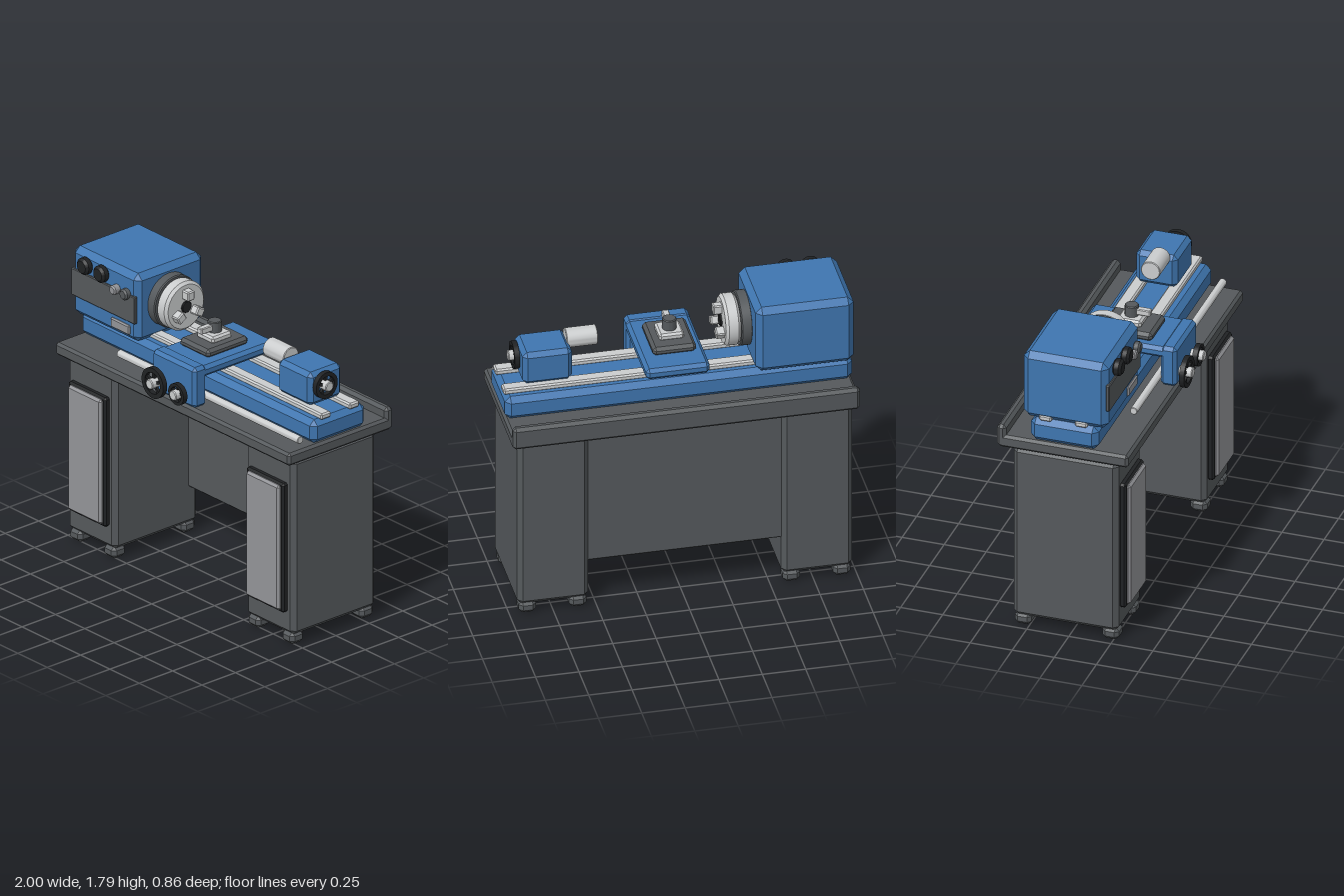
import * as THREE from 'three';
import { toCreasedNormals } from 'three/addons/utils/BufferGeometryUtils.js';
import { ConvexGeometry } from 'three/addons/geometries/ConvexGeometry.js';

const paint = (name, color) => {
  const m = new THREE.MeshStandardMaterial({ color });
  m.name = name;
  return m;
};

export function createModel() {
  const blue = paint('machine blue', 0x3f76b0);
  const dark = paint('dark grey', 0x55595c);
  const black = paint('black', 0x202224);
  const light = paint('light steel', 0xcbcdce);
  const mid = paint('door grey', 0x939498);

  const root = new THREE.Group();
  root.name = 'benchLathe';
  const group = (name) => {
    const g = new THREE.Group();
    g.name = name;
    root.add(g);
    return g;
  };
  const add = (parent, name, geometry, material) => {
    const mesh = new THREE.Mesh(geometry, material);
    mesh.name = name;
    parent.add(mesh);
    return mesh;
  };

  // Box with flat chamfers, given by its extents on each axis
  const box = (parent, name, mat, [x0, x1], [y0, y1], [z0, z1], c = 0.02) => {
    const hx = (x1 - x0) / 2, hy = (y1 - y0) / 2, hz = (z1 - z0) / 2;
    const pts = [];
    for (const sx of [-1, 1]) for (const sy of [-1, 1]) for (const sz of [-1, 1]) {
      pts.push(new THREE.Vector3(sx * hx, sy * (hy - c), sz * (hz - c)));
      pts.push(new THREE.Vector3(sx * (hx - c), sy * hy, sz * (hz - c)));
      pts.push(new THREE.Vector3(sx * (hx - c), sy * (hy - c), sz * hz));
    }
    const mesh = add(parent, name, new ConvexGeometry(pts), mat);
    mesh.position.set((x0 + x1) / 2, (y0 + y1) / 2, (z0 + z1) / 2);
    return mesh;
  };

  // Bevelled round bar starting at a point and running along +x, +y or +z
  const bar = (parent, name, mat, axis, r, len, [x, y, z], c = 0.008) => {
    const profile = [[0, 0], [r - c, 0], [r, c], [r, len - c], [r - c, len], [0, len]]
      .map(([a, b]) => new THREE.Vector2(a, b));
    const geo = toCreasedNormals(new THREE.LatheGeometry(profile, 36), 0.5);
    if (axis === 'x') geo.rotateZ(-Math.PI / 2);
    if (axis === 'z') geo.rotateX(Math.PI / 2);
    const mesh = add(parent, name, geo, mat);
    mesh.position.set(x, y, z);
    return mesh;
  };

  // Spoked handwheel facing +z, with its shaft
  const handwheel = (name, r, shaft) => {
    const g = group(name);
    const ring = new THREE.Shape().absarc(0, 0, r, 0, Math.PI * 2);
    ring.holes.push(new THREE.Path().absarc(0, 0, r * 0.7, 0, Math.PI * 2, true));
    const rim = new THREE.ExtrudeGeometry(ring, { depth: 0.03, bevelEnabled: false, curveSegments: 36 });
    add(g, 'rim', toCreasedNormals(rim, 0.5), black);
    for (let i = 0; i < 5; i++) {
      const geo = new THREE.BoxGeometry(0.016, r * 0.75, 0.018);
      geo.translate(0, r * 0.38, 0.015);
      geo.rotateZ((i * Math.PI * 2) / 5);
      add(g, 'spoke', geo, black);
    }
    bar(g, 'hub', light, 'z', 0.03, 0.055 + shaft, [0, 0, -shaft], 0.005);
    return g;
  };

  // Cabinets with doors and feet
  for (const cx of [-0.77, 0.75]) {
    const g = group(cx < 0 ? 'rightCabinet' : 'leftCabinet');
    box(g, 'cabinetBody', dark, [cx - 0.205, cx + 0.205], [0.06, 1.15], [-0.345, 0.28], 0.028);
    box(g, 'doorFrame', black, [cx - 0.16, cx + 0.16], [0.2, 1], [0.27, 0.315], 0.012);
    box(g, 'doorPanel', mid, [cx - 0.142, cx + 0.142], [0.215, 0.988], [0.29, 0.335], 0.014);
    for (const sx of [-1, 1]) for (const z of [-0.29, 0.23]) {
      const fx = cx + sx * 0.145;
      box(g, 'foot', dark, [fx - 0.05, fx + 0.05], [0, 0.075], [z - 0.05, z + 0.05], 0.022);
    }
  }

  // Rear panel and chip tray
  const stand = group('stand');
  box(stand, 'backPanel', dark, [-0.58, 0.555], [0.293, 1.16], [-0.32, -0.27], 0.008);
  box(stand, 'trayTop', dark, [-1, 1], [1.15, 1.228], [-0.42, 0.35], 0.015);
  box(stand, 'trayBackLip', dark, [-1, 1], [1.15, 1.29], [-0.432, -0.376], 0.018);

  // Bed with rails and lead screw
  const bed = group('bed');
  box(bed, 'bedCasting', blue, [-1, 1], [1.225, 1.37], [-0.235, 0.168], 0.032);
  for (const z of [-0.142, 0.07]) {
    box(bed, 'rail', light, [-1, 1], [1.365, 1.402], [z - 0.037, z + 0.037], 0.009);
  }
  bar(bed, 'leadScrew', light, 'x', 0.022, 1.545, [-0.575, 1.273, 0.238], 0.003);

  // Headstock and its controls
  const head = group('headstock');
  box(head, 'headstockBody', blue, [-1, -0.435], [1.37, 1.79], [-0.278, 0.226], 0.035);
  box(head, 'controlPanel', dark, [-0.99, -0.447], [1.492, 1.66], [0.215, 0.238], 0.005);
  for (const x of [-0.86, -0.72]) bar(head, 'knob', black, 'z', 0.05, 0.055, [x, 1.717, 0.22], 0.014);
  bar(head, 'smallButton', mid, 'z', 0.028, 0.05, [-0.605, 1.66, 0.22], 0.008);
  bar(head, 'speedButton', dark, 'z', 0.033, 0.045, [-0.52, 1.66, 0.22], 0.01);
  box(head, 'switchPlate', mid, [-0.655, -0.495], [1.408, 1.468], [0.21, 0.238], 0.008);

  // Chuck with three jaws
  const chuck = group('chuck');
  const cy = 1.587, cz = -0.008;
  bar(chuck, 'backPlate', dark, 'x', 0.158, 0.065, [-0.44, cy, cz], 0.006);
  bar(chuck, 'chuckBody', light, 'x', 0.149, 0.088, [-0.377, cy, cz], 0.016);
  bar(chuck, 'bore', black, 'x', 0.035, 0.014, [-0.292, cy, cz], 0.003);
  for (let i = 0; i < 3; i++) {
    const pivot = new THREE.Group();
    pivot.name = 'jaw';
    pivot.position.set(0, cy, cz);
    pivot.rotation.x = (i * Math.PI * 2) / 3;
    chuck.add(pivot);
    box(pivot, 'jawBlock', light, [-0.3, -0.24], [0.05, 0.108], [-0.026, 0.026], 0.007);
  }

  // Carriage, cross slide and tool post
  const carriage = group('carriage');
  box(carriage, 'saddle', blue, [-0.172, 0.196], [1.4, 1.468], [-0.262, 0.34], 0.02);
  box(carriage, 'apron', blue, [-0.172, 0.196], [1.225, 1.475], [0.255, 0.352], 0.02);
  box(carriage, 'crossSlide', dark, [-0.125, 0.125], [1.462, 1.515], [-0.12, 0.19], 0.018);
  box(carriage, 'toolBase', light, [-0.072, 0.072], [1.508, 1.552], [-0.04, 0.107], 0.012);
  bar(carriage, 'toolPost', dark, 'y', 0.04, 0.07, [0, 1.547, 0.03], 0.005);
  box(carriage, 'cuttingTool', light, [-0.02, 0.02], [1.563, 1.6], [0.03, 0.145], 0.005);
  handwheel('carriageHandwheel', 0.092, 0.04).position.set(-0.102, 1.303, 0.376);
  handwheel('feedHandwheel', 0.065, 0.04).position.set(0.098, 1.303, 0.376);

  // Tailstock
  const tail = group('tailstock');
  box(tail, 'tailstockBody', blue, [0.597, 0.882], [1.397, 1.602], [-0.157, 0.09], 0.026);
  bar(tail, 'quill', light, 'x', 0.057, 0.18, [0.43, 1.59, -0.008], 0.004);
  const wheel = handwheel('tailstockHandwheel', 0.08, 0.02);
  wheel.rotation.y = Math.PI / 2;
  wheel.position.set(0.885, 1.518, -0.008);

  return root;
}
